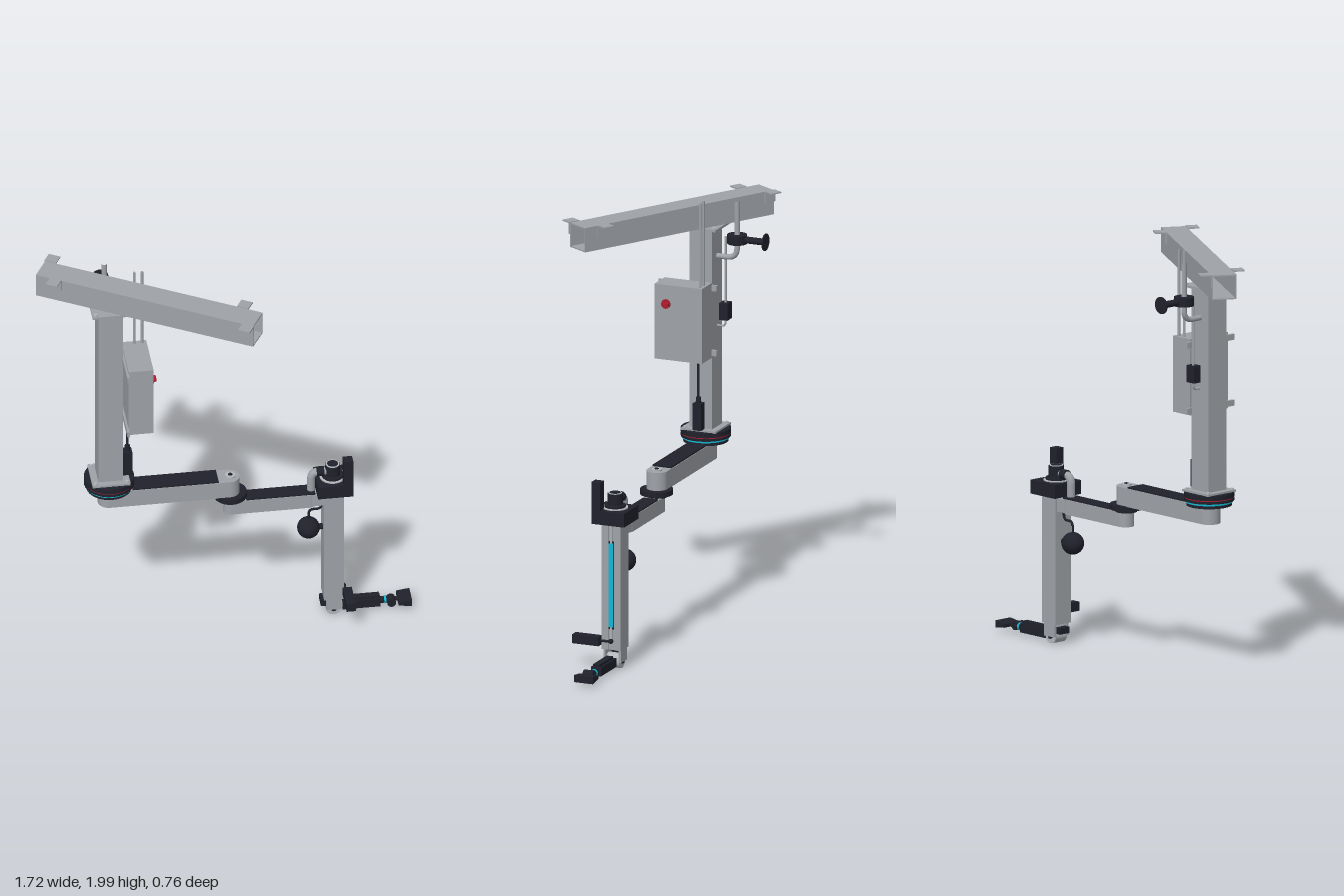
import * as THREE from 'three';

const mat = (name, hex) => {
  const m = new THREE.MeshStandardMaterial({ color: hex });
  m.name = name;
  return m;
};

export function createModel() {
  const root = new THREE.Group();
  root.name = 'ceilingArm';
  const grey = mat('painted grey', 0x9fa3a8), black = mat('black', 0x20212b);
  const cyan = mat('cyan', 0x14b8d4), red = mat('red', 0xb01c2e), steel = mat('light steel', 0xb4b8bc);
  const Z = -0.088, CX = -0.543, LX = 0.495; // arm plane, column axis, leg axis

  const add = (name, geo, m, parent = root) => {
    const mesh = new THREE.Mesh(geo, m);
    mesh.name = name;
    parent.add(mesh);
    return mesh;
  };
  // box from its limits
  const box = (name, m, x0, x1, y0, y1, z0, z1, parent) => {
    const b = add(name, new THREE.BoxGeometry(x1 - x0, y1 - y0, z1 - z0), m, parent);
    b.position.set((x0 + x1) / 2, (y0 + y1) / 2, (z0 + z1) / 2);
    return b;
  };
  // cylinder along an axis
  const cyl = (name, m, r, len, x, y, z, axis = 'y', r2 = r) => {
    const g = new THREE.CylinderGeometry(r2, r, len, 32);
    if (axis === 'x') g.rotateZ(-Math.PI / 2);
    if (axis === 'z') g.rotateX(Math.PI / 2);
    const c = add(name, g, m);
    c.position.set(x, y, z);
    return c;
  };
  // pipe through points with rounded corners
  const pipe = (name, m, r, pts, bend = 0.03) => {
    const p = pts.map((a) => new THREE.Vector3(...a));
    const path = new THREE.CurvePath();
    let from = p[0];
    for (let i = 1; i < p.length - 1; i++) {
      const a = p[i].clone().add(p[i - 1].clone().sub(p[i]).setLength(bend));
      const b = p[i].clone().add(p[i + 1].clone().sub(p[i]).setLength(bend));
      path.add(new THREE.LineCurve3(from, a));
      path.add(new THREE.QuadraticBezierCurve3(a, p[i], b));
      from = b;
    }
    path.add(new THREE.LineCurve3(from, p[p.length - 1]));
    return add(name, new THREE.TubeGeometry(path, 48, r, 12), m);
  };
  // horizontal slab with round ends, from centre x0 to centre x1
  const slab = (name, m, x0, x1, r, y0, y1) => {
    const s = new THREE.Shape();
    s.absarc(x1, 0, r, -Math.PI / 2, Math.PI / 2);
    s.absarc(x0, 0, r, Math.PI / 2, Math.PI * 1.5);
    const g = new THREE.ExtrudeGeometry(s, { depth: y1 - y0, bevelEnabled: false, curveSegments: 16 });
    g.rotateX(-Math.PI / 2);
    add(name, g, m).position.set(0, y0, Z);
  };

  // Ceiling beam: hollow square tube set at thirty degrees, with angle brackets
  const beam = new THREE.Group();
  beam.name = 'ceilingBeam';
  beam.position.set(-0.37, 1.914, 0.006);
  beam.rotation.y = -Math.PI / 6;
  root.add(beam);
  const w = 0.058, inner = 0.052, sq = (S, a) => {
    const s = new S();
    s.moveTo(-a, -a); s.lineTo(a, -a); s.lineTo(a, a); s.lineTo(-a, a); s.closePath();
    return s;
  };
  const section = sq(THREE.Shape, w);
  section.holes.push(sq(THREE.Path, inner));
  const tube = new THREE.ExtrudeGeometry(section, { depth: 1.076, bevelEnabled: false });
  tube.translate(0, 0, -0.538).rotateY(Math.PI / 2);
  add('beamTube', tube, grey, beam);
  for (const side of [-1, 1]) {
    const end = new THREE.Group();
    end.name = 'beamBrackets';
    end.rotation.y = side > 0 ? 0 : Math.PI;
    beam.add(end);
    box('bracketPlate', grey, 0.485, 0.542, 0.055, 0.061, w, 0.112, end);
    box('bracketLeg', grey, 0.485, 0.542, 0.005, 0.061, w, w + 0.006, end);
    box('bracketPlate', grey, 0.412, 0.468, 0.055, 0.061, -0.112, -w, end);
    box('bracketLeg', grey, 0.412, 0.468, 0.005, 0.061, -w - 0.006, -w, end);
  }

  // Column with flanges and bolts
  box('column', grey, CX - 0.057, CX + 0.057, 0.89, 1.848, Z - 0.057, Z + 0.057);
  box('topFlange', grey, CX - 0.088, CX + 0.088, 1.845, 1.856, Z - 0.088, Z + 0.088);
  box('bottomFlange', grey, CX - 0.088, CX + 0.088, 0.882, 0.892, Z - 0.088, Z + 0.088);
  for (const sx of [-1, 1]) for (const sz of [-1, 1])
    for (const y of [0.895, 1.859]) cyl('flangeBolt', steel, 0.008, 0.008, CX + sx * 0.073, y, Z + sz * 0.073);

  // Swivel base with coloured rings
  cyl('swivelUpper', black, 0.116, 0.022, CX, 0.872, Z);
  cyl('swivelRedRing', red, 0.113, 0.01, CX, 0.859, Z);
  cyl('swivelMiddle', black, 0.116, 0.012, CX, 0.85, Z);
  cyl('swivelCyanRing', cyan, 0.11, 0.01, CX, 0.84, Z);
  cyl('swivelLower', black, 0.105, 0.016, CX, 0.828, Z);

  // Control box, mounting strips, knob and conduits
  box('controlBox', grey, -0.478, -0.362, 1.237, 1.595, -0.147, 0.09);
  for (const y of [1.26, 1.57]) box('mountStrip', grey, -0.488, -0.476, y - 0.014, y + 0.014, -0.172, 0.12);
  cyl('knobBase', red, 0.022, 0.008, -0.358, 1.505, 0.032, 'x');
  box('knobGrip', red, -0.356, -0.342, 1.499, 1.511, 0.014, 0.05);
  for (const x of [-0.42, -0.384]) cyl('conduit', grey, 0.006, 0.41, x, 1.795, -0.13);
  cyl('boxCable', black, 0.006, 0.24, -0.458, 1.12, Z);
  box('cablePlug', black, -0.48, -0.438, 0.892, 1.02, Z - 0.021, Z + 0.021);
  cyl('plugNeck', black, 0.012, 0.03, -0.458, 1.033, Z);

  // Air supply behind the column: pipe, valve and regulator
  pipe('airPipe', grey, 0.013, [[CX, 1.98, -0.245], [CX, 1.708, -0.245], [CX, 1.708, -0.14]], 0.05);
  cyl('valveCollar', black, 0.046, 0.042, CX, 1.8, -0.245);
  cyl('valveStem', black, 0.016, 0.11, CX, 1.8, -0.335, 'z');
  cyl('valveWheel', black, 0.04, 0.006, CX, 1.8, -0.387, 'z');
  cyl('regulatorPipe', grey, 0.006, 0.33, CX, 1.64, -0.187);
  box('regulator', black, CX - 0.026, CX + 0.026, 1.41, 1.49, -0.207, -0.165);
  pipe('regulatorOutlet', grey, 0.005, [[CX, 1.42, -0.187], [CX, 1.376, -0.187], [CX, 1.376, -0.14]], 0.02);

  // First arm, elbow joint and second arm
  slab('upperArm', grey, -0.545, 0.013, 0.05, 0.735, 0.822);
  box('upperArmCover', black, -0.44, -0.04, 0.821, 0.829, Z - 0.047, Z + 0.047);
  cyl('elbowCap', steel, 0.024, 0.008, 0.02, 0.826, Z);
  cyl('elbowBolt', black, 0.01, 0.01, 0.02, 0.828, Z);
  cyl('elbowDisc', black, 0.076, 0.025, 0.02, 0.724, Z);
  cyl('elbowNeck', black, 0.05, 0.015, 0.02, 0.706, Z);
  slab('foreArm', grey, 0.026, 0.382, 0.04, 0.63, 0.701);
  box('foreArmCover', black, 0.09, 0.41, 0.7, 0.707, Z - 0.037, Z + 0.037);
  box('foreArmEnd', grey, 0.37, 0.45, 0.635, 0.696, Z - 0.038, Z + 0.038);

  // Cable elbow into the head
  pipe('headPipe', grey, 0.019, [[0.395, 0.7, Z], [0.395, 0.805, Z], [0.47, 0.805, Z]], 0.04);
  cyl('headPipeNut', black, 0.023, 0.035, 0.437, 0.805, Z, 'x');

  // Head block with motor
  box('headBlock', black, 0.416, 0.58, 0.705, 0.77, Z - 0.082, Z + 0.082);
  cyl('headRing', steel, 0.06, 0.006, LX, 0.772, Z);
  cyl('headRingInner', black, 0.049, 0.02, LX, 0.776, Z);
  cyl('headDrum', black, 0.035, 0.07, LX, 0.805, Z);
  cyl('headDrumRim', steel, 0.032, 0.004, LX, 0.8405, Z);
  cyl('headDrumTop', black, 0.025, 0.006, LX, 0.841, Z);
  box('headMotor', black, 0.536, 0.58, 0.77, 0.905, -0.05, -0.006);

  // Lift leg with side strip
  box('leg', grey, 0.449, 0.536, 0.1, 0.706, Z - 0.048, Z + 0.048);
  for (const s of [-1, 1]) box('legRail', grey, 0.535, 0.541, 0.1, 0.706, Z + s * 0.031 - 0.017, Z + s * 0.031 + 0.017);
  box('legSlot', black, 0.533, 0.541, 0.2, 0.62, Z - 0.013, Z + 0.013);
  box('legStrip', cyan, 0.54, 0.544, 0.21, 0.61, Z - 0.011, Z + 0.011);
  for (const [y0, y1] of [[0.61, 0.7], [0.145, 0.21]]) cyl('stripRod', steel, 0.005, y1 - y0, 0.54, (y0 + y1) / 2, Z);
  box('sideSensor', black, 0.535, 0.577, 0.122, 0.165, -0.04, 0.092);
  cyl('sensorRod', black, 0.006, 0.06, 0.55, 0.143, -0.062, 'z');
  add('sensorKnob', new THREE.SphereGeometry(0.012, 16, 12), black).position.set(0.545, 0.143, Z);

  // Float ball and its hose
  add('ball', new THREE.SphereGeometry(0.052, 32, 20), black).position.set(0.383, 0.49, Z);
  cyl('ballMount', black, 0.014, 0.03, 0.437, 0.49, Z, 'x');
  pipe('ballHose', black, 0.006, [[0.385, 0.53, Z], [0.385, 0.592, Z], [0.443, 0.592, Z], [0.443, 0.71, Z]], 0.022);

  // Wrist
  cyl('wristDrum', steel, 0.035, 0.07, LX, 0.042, Z, 'z');
  cyl('wristHub', black, 0.013, 0.084, LX, 0.042, Z, 'z');
  for (const s of [-1, 1]) box('wristCheek', grey, 0.46, 0.53, 0.04, 0.102, Z + s * 0.038 - 0.006, Z + s * 0.038 + 0.006);
  box('wristStop', black, 0.437, 0.47, 0.055, 0.085, Z - 0.03, Z + 0.03);
  box('wristLink', steel, 0.51, 0.545, 0.028, 0.06, Z - 0.018, Z + 0.018);

  // Tool: body, joint and flared head
  box('toolBody', black, 0.538, 0.715, 0.022, 0.064, Z - 0.025, Z + 0.025);
  box('toolCover', black, 0.555, 0.71, 0.062, 0.076, Z - 0.016, Z + 0.016);
  cyl('toolNeck', black, 0.016, 0.05, 0.735, 0.042, Z, 'x');
  cyl('toolRing', cyan, 0.018, 0.01, 0.738, 0.042, Z, 'x');
  cyl('toolJoint', black, 0.02, 0.05, 0.765, 0.042, Z + 0.012, 'z');
  cyl('toolRod', black, 0.011, 0.04, 0.79, 0.042, Z, 'x');
  const head = new THREE.BoxGeometry(0.062, 0.034, 0.095);
  const p = head.attributes.position;
  for (let i = 0; i < p.count; i++) if (p.getX(i) < 0) p.setY(i, p.getY(i) * 0.5);
  head.computeVertexNormals();
  add('toolHead', head, black).position.set(0.827, 0.042, Z);

  return root;
}
